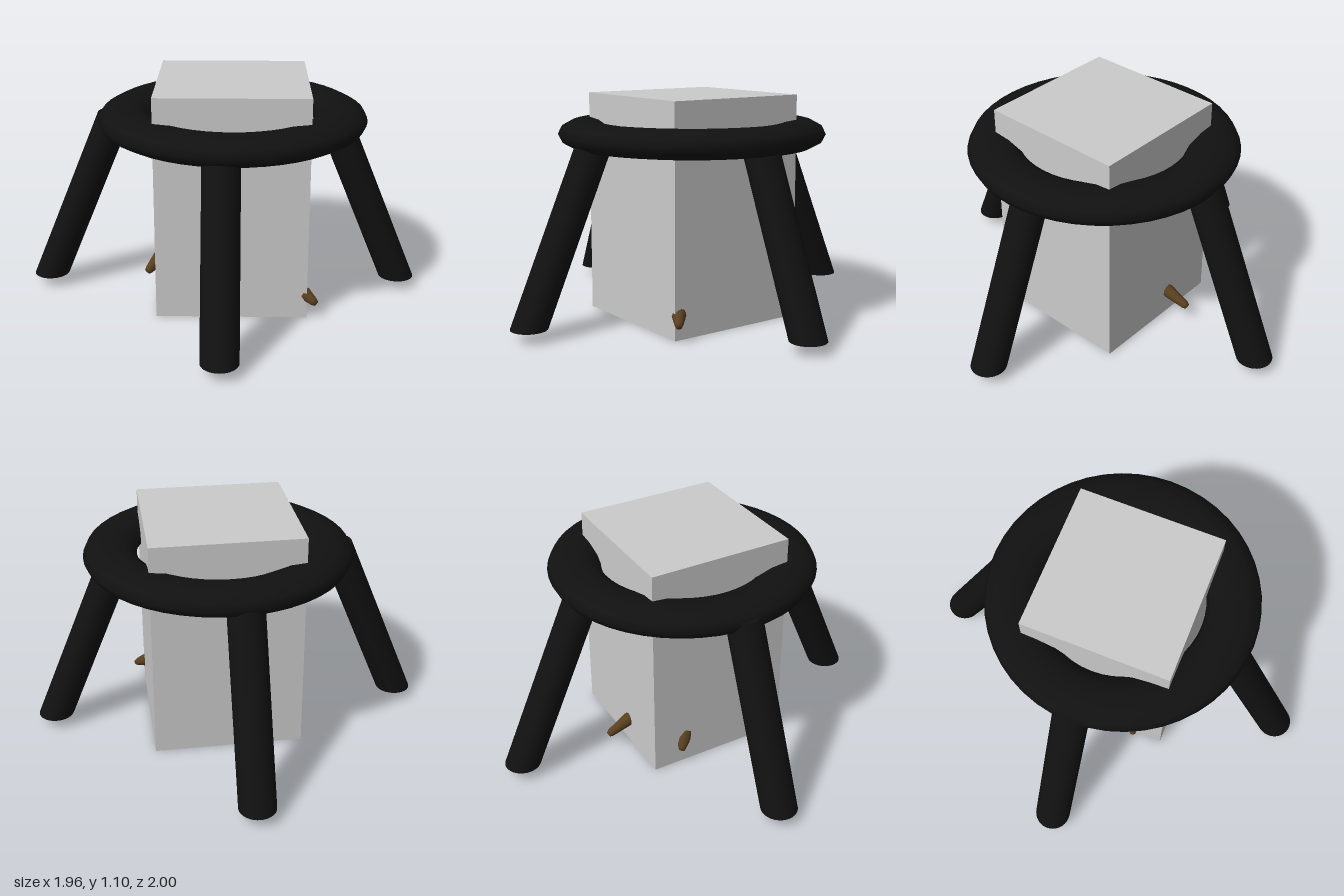
import * as THREE from 'three';

const black = new THREE.MeshStandardMaterial({ color: 0x111111 });
const brown = new THREE.MeshStandardMaterial({ color: 0x5a4020 });
const grey = new THREE.MeshStandardMaterial({ color: 0xcccccc });

// Leg with level ends: an upright cylinder sheared from its foot to its top
function makeLeg(name, foot, top) {
  const y0 = 0.055, y1 = 0.925;
  const geo = new THREE.CylinderGeometry(0.088, 0.088, y1 - y0, 32);
  const [dx, dz] = [top[0] - foot[0], top[1] - foot[1]];
  const h = y1 - y0;
  const shear = new THREE.Matrix4().set(
    1, dx / h, 0, (foot[0] + top[0]) / 2,
    0, 1, 0, (y0 + y1) / 2,
    0, dz / h, 1, (foot[1] + top[1]) / 2,
    0, 0, 0, 1);
  geo.applyMatrix4(shear);
  const leg = new THREE.Mesh(geo, black);
  leg.name = name;
  return leg;
}

// Small tapered peg sticking out of the block, its root buried inside
function makePeg(name, base, tip) {
  const a = new THREE.Vector3(...base), b = new THREE.Vector3(...tip);
  const dir = b.clone().sub(a);
  const len = dir.length();
  const profile = [[0, -0.04], [0.032, -0.04], [0.034, 0], [0.021, len - 0.01], [0.014, len + 0.006], [0, len + 0.008]]
    .map(([r, y]) => new THREE.Vector2(r, y));
  const peg = new THREE.Mesh(new THREE.LatheGeometry(profile, 10), brown);
  peg.quaternion.setFromUnitVectors(new THREE.Vector3(0, 1, 0), dir.normalize());
  peg.position.copy(a);
  peg.name = name;
  return peg;
}

export function createModel() {
  const model = new THREE.Group();
  model.name = 'ringStand';

  // Central block
  const block = new THREE.Mesh(new THREE.BoxGeometry(0.73, 1.1, 0.725), grey);
  block.position.set(0.045, 0.55, 0.018);
  block.name = 'block';
  model.add(block);

  // Flattened ring around the block
  const ringGeo = new THREE.TorusGeometry(0.525, 0.13, 12, 48);
  ringGeo.rotateX(Math.PI / 2).scale(1, 0.54, 1);
  const ring = new THREE.Mesh(ringGeo, black);
  ring.position.set(0.045, 0.91, 0.015);
  ring.name = 'ring';
  model.add(ring);

  // Four splayed legs
  model.add(
    makeLeg('frontLeg', [0, 0.912], [0, 0.53]),
    makeLeg('backLeg', [0, -0.912], [0, -0.53]),
    makeLeg('leftLeg', [0.89, 0], [0.53, 0]),
    makeLeg('rightLeg', [-0.893, 0], [-0.53, 0]));

  // Pegs low on the block
  model.add(
    makePeg('backPeg', [-0.035, 0.125, -0.345], [-0.045, 0.082, -0.46]),
    makePeg('rightRearPeg', [-0.315, 0.13, -0.18], [-0.34, 0.088, -0.205]),
    makePeg('rightFrontPeg', [-0.315, 0.235, 0.215], [-0.37, 0.175, 0.24]),
    makePeg('leftPeg', [0.4, 0.115, 0.352], [0.45, 0.083, 0.388]));

  return model;
}
